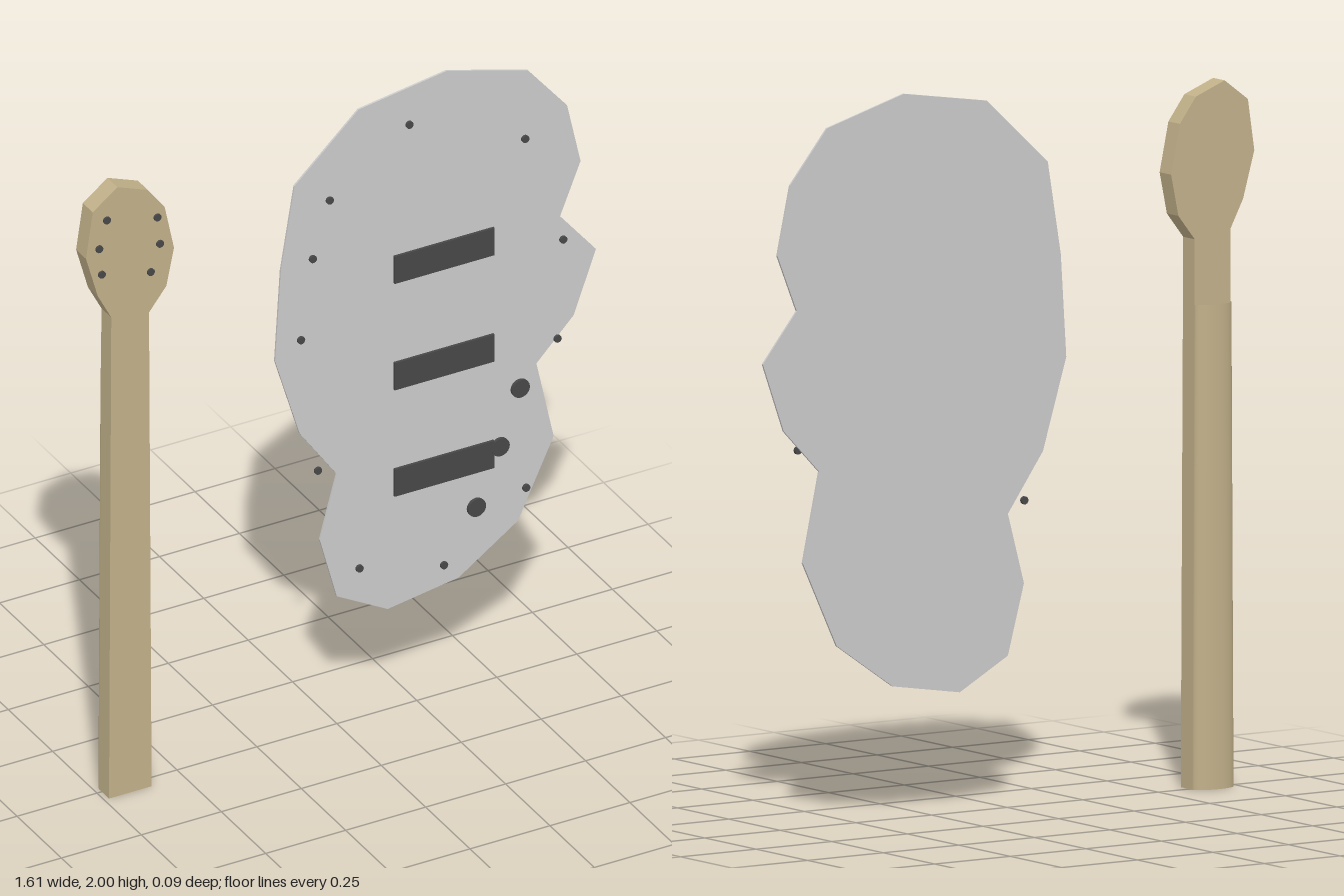
import * as THREE from 'three';

const wood = new THREE.MeshStandardMaterial({ color: 0xc2b18a });
const woodShell = new THREE.MeshStandardMaterial({ color: 0xc2b18a, side: THREE.DoubleSide });
const plate = new THREE.MeshStandardMaterial({ color: 0xcccccc });
const dark = new THREE.MeshStandardMaterial({ color: 0x484848 });

export function createModel() {
  const model = new THREE.Group();

  const add = (name, geometry, material, x = 0, y = 0, z = 0) => {
    const mesh = new THREE.Mesh(geometry, material);
    mesh.name = name;
    mesh.position.set(x, y, z);
    model.add(mesh);
  };

  // Flat slab with a polygon outline between two depths
  const slab = (name, points, z0, z1, material) => {
    const shape = new THREE.Shape(points.map(([x, y]) => new THREE.Vector2(x, y)));
    const geometry = new THREE.ExtrudeGeometry(shape, { depth: z1 - z0, bevelEnabled: false });
    add(name, geometry, material, 0, 0, z0);
  };

  // Round disc facing the front
  const disc = (name, [x, y], radius, z0, z1) => {
    const geometry = new THREE.CylinderGeometry(radius, radius, z1 - z0, 20).rotateX(Math.PI / 2);
    add(name, geometry, dark, x, y, (z0 + z1) / 2);
  };

  // Body plate with its double-waisted outline
  slab('bodyPlate', [
    [0.336, 2], [0.061, 1.958], [-0.14, 1.772], [-0.183, 1.513], [-0.201, 1.228],
    [-0.124, 0.974], [-0.008, 0.81], [-0.061, 0.614], [-0.008, 0.418], [0.151, 0.33],
    [0.373, 0.365], [0.558, 0.492], [0.67, 0.73], [0.616, 0.979], [0.733, 1.1],
    [0.802, 1.291], [0.69, 1.429], [0.754, 1.587], [0.712, 1.778], [0.59, 1.926],
  ], 0.008, 0.014, plate);

  // Pickups, knobs and screws on the plate
  for (const y of [1.414, 1.073, 0.732]) {
    add('pickup', new THREE.BoxGeometry(0.312, 0.087, 0.008), dark, 0.325, y, 0.018);
  }
  for (const p of [[0.563, 0.918], [0.5, 0.749], [0.426, 0.577]]) {
    disc('knob', p, 0.028, 0.014, 0.023);
  }
  for (const p of [
    [0.217, 1.865], [0.579, 1.712], [0.698, 1.354], [0.68, 1.042], [0.582, 0.593], [0.325, 0.421],
    [0.061, 0.489], [-0.069, 0.841], [-0.122, 1.275], [-0.085, 1.524], [-0.032, 1.696],
  ]) disc('plateScrew', p, 0.011, 0.014, 0.022);

  // Neck and headstock in one piece
  slab('neckAndHeadstock', [
    [-0.735, 0], [-0.602, 0], [-0.61, 1.521], [-0.556, 1.59], [-0.532, 1.706],
    [-0.561, 1.844], [-0.614, 1.915], [-0.709, 1.952], [-0.786, 1.894],
    [-0.807, 1.751], [-0.77, 1.62], [-0.728, 1.54],
  ], -0.015, 0.041, wood);

  // Rounded, slightly tapering back of the neck, open at both ends
  const back = new THREE.CylinderGeometry(0.06, 0.0665, 1.34, 24, 1, true, Math.PI / 2, Math.PI);
  back.scale(1, 1, 0.48);
  add('neckBack', back, woodShell, -0.6685, 0.67, -0.015);

  // Tuning pegs
  for (const p of [
    [-0.743, 1.857], [-0.767, 1.772], [-0.759, 1.688],
    [-0.585, 1.82], [-0.577, 1.733], [-0.606, 1.651],
  ]) disc('tuningPeg', p, 0.011, 0.041, 0.047);

  return model;
}
